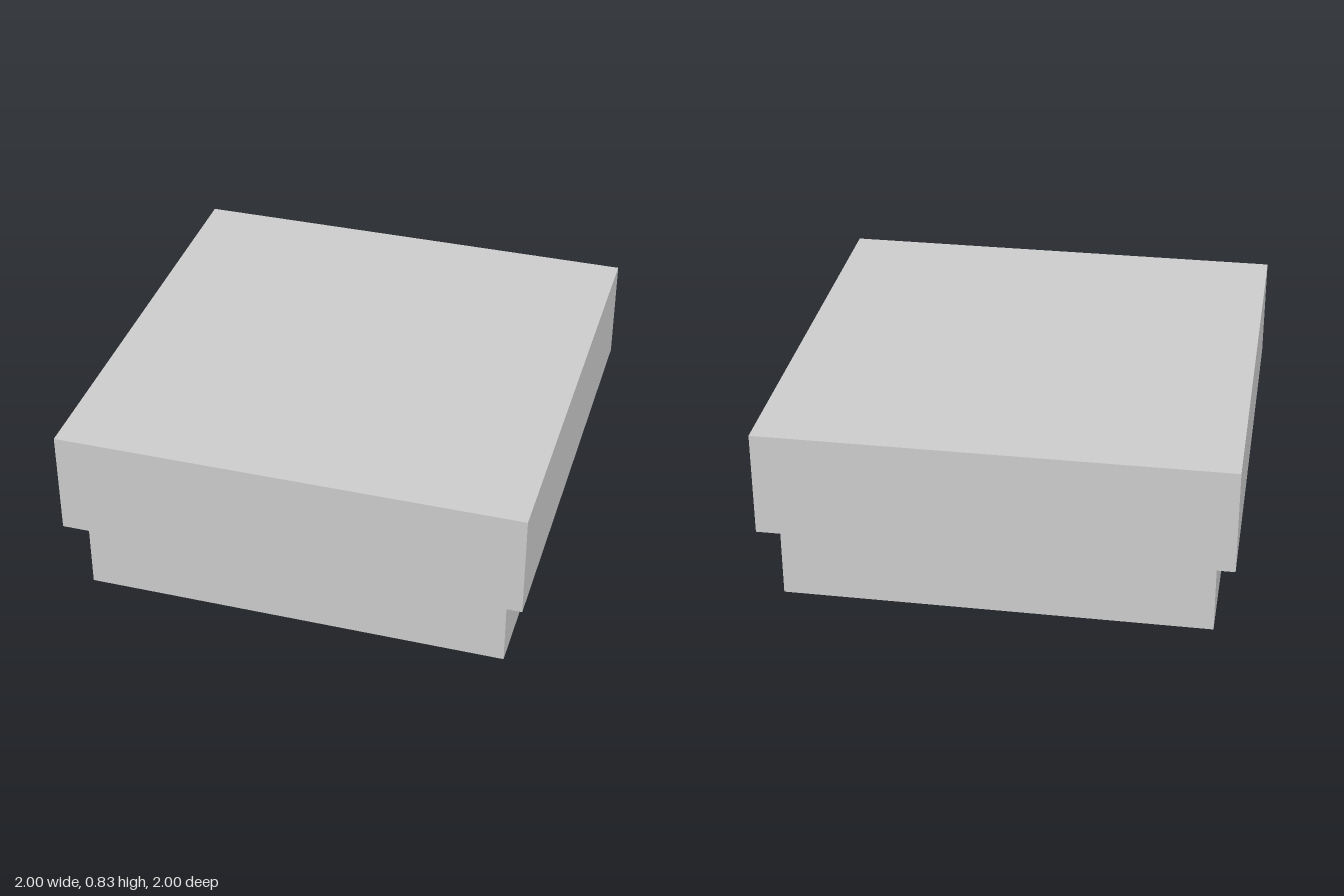
import * as THREE from 'three';
import { toCreasedNormals } from 'three/addons/utils/BufferGeometryUtils.js';

const material = new THREE.MeshStandardMaterial({ color: 0xcccccc });

// Square solid swept from a profile of [half width, height], bottom to top
function squareSweep(name, profile) {
  const points = profile.map(([h, y]) => new THREE.Vector2(h * Math.SQRT2, y));
  const swept = new THREE.LatheGeometry(points, 4, Math.PI / 4);
  const mesh = new THREE.Mesh(toCreasedNormals(swept, Math.PI / 6), material);
  mesh.name = name;
  return mesh;
}

export function createModel() {
  const model = new THREE.Group();
  model.name = 'steppedBlock';

  // Narrower base with a shallow bevel softened into its underside
  model.add(squareSweep('base', [[0, 0], [0.83, 0], [0.92, 0.03], [0.92, 0.335]]));

  // Wide slab with a sloping lower rim
  model.add(squareSweep('topSlab', [[0.92, 0.335], [1, 0.375], [1, 0.835], [0, 0.835]]));

  return model;
}
